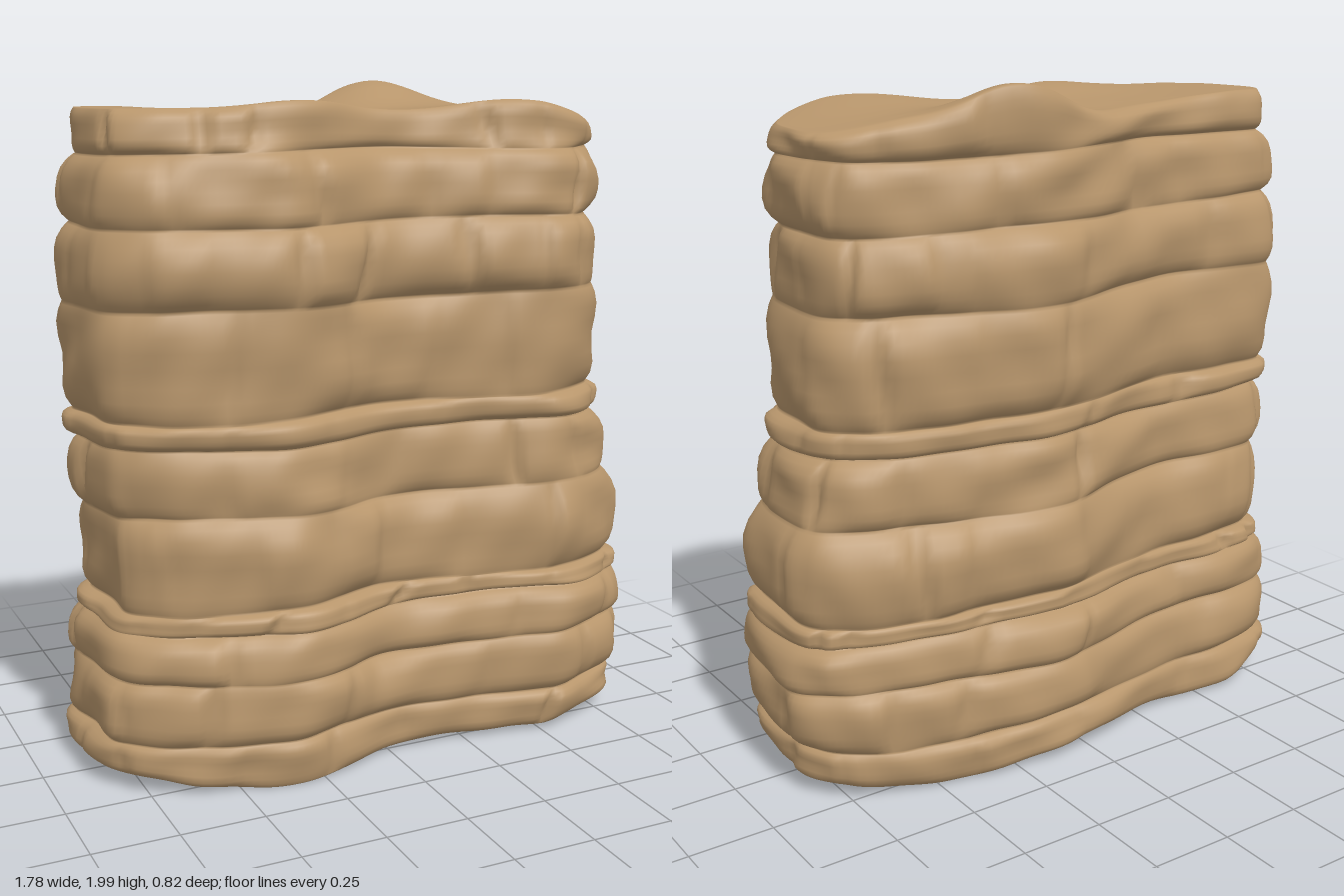
import * as THREE from 'three';

const COLUMNS = 200, STEPS = 10;

// Plan outlines (x, z) at the foot and at the top, matched point for point
const FOOT = [[-.89, -.17], [-.88, 0], [-.85, .16], [-.7, .28], [-.5, .36], [-.32, .4], [-.15, .36], [0, .31],
  [.2, .31], [.4, .34], [.55, .37], [.7, .32], [.85, .23], [.89, .02], [.87, -.17], [.76, -.28], [.55, -.35],
  [.35, -.38], [.1, -.41], [-.05, -.39], [-.33, -.33], [-.63, -.33], [-.82, -.26]];
const HEAD = [[-.79, -.12], [-.78, 0], [-.75, .13], [-.65, .21], [-.5, .25], [-.35, .28], [-.18, .25], [0, .19],
  [.2, .21], [.38, .24], [.52, .26], [.63, .24], [.72, .15], [.74, 0], [.73, -.12], [.66, -.21], [.5, -.27],
  [.33, -.31], [.12, -.34], [-.05, -.3], [-.35, -.21], [-.6, -.21], [-.75, -.2]];

// Rock strata: top height, then reach to -x, +x, +z, -z
const LAYERS = [
  [.15, .9, .855, .39, .405], [.33, .88, .895, .415, .415], [.47, .87, .895, .405, .405],
  [.53, .845, .87, .37, .37], [.80, .825, .875, .375, .395], [1.0, .855, .815, .335, .355],
  [1.08, .87, .79, .345, .355], [1.39, .875, .78, .345, .375], [1.61, .885, .755, .375, .38],
  [1.81, .86, .77, .325, .335], [1.94, .83, .765, .27, .335]];

function makeRandom(seed) {
  return () => (seed = (seed * 16807) % 2147483647) / 2147483647;
}

// Smooth closed outline, scaled so each side reaches exactly 1
function unitOutline(points) {
  const curve = new THREE.CatmullRomCurve3(points.map(([x, z]) => new THREE.Vector3(x, 0, z)), true);
  const list = Array.from({ length: COLUMNS }, (_, j) => curve.getPoint(j / COLUMNS));
  const reach = (f) => Math.max(...list.map(f));
  const l = reach(p => -p.x), r = reach(p => p.x), f = reach(p => p.z), b = reach(p => -p.z);
  return list.map(p => [p.x / (p.x < 0 ? l : r), p.z / (p.z < 0 ? b : f)]);
}

const hill = (x, z, cx, cz, w, d) => Math.exp(-(((x - cx) / w) ** 2) - ((z - cz) / d) ** 2);

// Top with a front-left and a back-right ridge and a valley between; uneven underside
const topHeight = (x, z) => 1.912 + .087 * hill(x, z, .2, -.28, .2, .16) + .038 * hill(x, z, -.26, .22, .24, .16)
  + .035 * hill(x, z, .42, .2, .22, .2) + .018 * THREE.MathUtils.smoothstep(-x, .35, .7)
  - .015 * hill(x, z, -.1, -.2, .2, .15) - .03 * THREE.MathUtils.smoothstep(x, .5, .75);
const footHeight = (x, z) => .024 + .008 * Math.sin(x * 8 + 1.6) + .008 * Math.sin(x * 3.1 + z * 6 - 2.4)
  + .022 * THREE.MathUtils.smoothstep(Math.abs(x), .6, .85);

// Blocks along one layer: each is set in or out and split from the next by a crack
function blockRelief(random) {
  const count = 13 + Math.floor(random() * 6);
  const blocks = Array.from({ length: count }, (_, i) => ({
    start: (i + random() * .7) / count, out: (random() - .5) * .02, tilt: (random() - .5) * .04,
    crack: random() ** 2 * .024, lean: (random() - .5) * .012
  }));
  return (u, s) => {
    let offset = 0, index = count - 1;
    blocks.forEach((b, i) => { if (u >= b.start + b.lean * s) index = i; });
    const b = blocks[index], next = blocks[(index + 1) % count];
    const from = b.start + b.lean * s, to = next.start + next.lean * s;
    const width = (to - from + 1) % 1 || 1, t = ((u - from + 1) % 1) / width;
    offset += b.out * Math.min(1, 8 * t * (1 - t)) + b.tilt * t * (1 - t) * (t - .5) * 4;
    offset -= b.crack * Math.exp(-((t * width / .005) ** 2));
    offset -= next.crack * Math.exp(-(((1 - t) * width / .005) ** 2));
    return offset;
  };
}

// Small dents and swellings shared by all layers
const lumps = (x, y, z) => .005 * Math.sin(x * 13 + y * 11 + 3 * Math.sin(y * 7)) * Math.cos(z * 12 - y * 9)
  + .003 * Math.sin(x * 27 - y * 21 + z * 19) + .004 * Math.sin(x * 8 - z * 17 + y * 33);

function buildRock() {
  const foot = unitOutline(FOOT), head = unitOutline(HEAD);
  const random = makeRandom(4217), rows = [];
  const wave = (i, x, z) => .004 * Math.sin(x * 5 + i * 2.1) + .003 * Math.sin(z * 9 + x * 2 + i * 1.3);
  let base = 0;

  // Bulging strata that meet in grooves
  LAYERS.forEach(([top, ...reach], i) => {
    const relief = blockRelief(random), last = i === LAYERS.length - 1;
    for (let k = i ? 1 : 0; k <= STEPS; k++) {
      const s = Math.sin((k / STEPS - .5) * Math.PI), t = (s + 1) / 2;
      const y = base + (top - base) * t, mix = y / 1.94;
      const neighbour = LAYERS[i + Math.sign(s)] ?? LAYERS[i];
      const [l, r, f, b] = reach.map((v, n) => v + (neighbour[n + 1] - v) * .5 * s * s);
      const plan = foot.map(([x, z], j) => {
        const px = x + (head[j][0] - x) * mix, pz = z + (head[j][1] - z) * mix;
        return [px * (px < 0 ? l : r), pz * (pz < 0 ? b : f)];
      });
      const groove = .028 * Math.abs(s) ** 4;
      rows.push(plan.map(([x, z], j) => {
        const p = plan[(j + COLUMNS - 1) % COLUMNS], q = plan[(j + 1) % COLUMNS];
        const dx = q[0] - p[0], dz = q[1] - p[1], len = Math.hypot(dx, dz);
        const uneven = 1 + .35 * Math.sin(x * 7 + z * 5 + (i + Math.sign(s) / 2) * 4);
        const out = relief(j / COLUMNS, s) * (1 - s ** 4) + lumps(x, y, z) - groove * uneven - .008;
        const nx = x - dz / len * out, nz = z + dx / len * out;
        const low = i ? base + wave(i, x, z) : footHeight(nx, nz);
        const high = last ? topHeight(nx, nz) : top + wave(i + 1, x, z);
        return [nx, low + (high - low) * t, nz];
      }));
    }
    base = top;
  });

  // Rings closing the underside and the top
  const ring = (edge, scale, height) => edge.map(([x, , z]) => [x * scale, height(x * scale, z * scale), z * scale]);
  const lowEdge = rows[0], highEdge = rows[rows.length - 1];
  for (const scale of [.96, .85, .7, .5, .3, .12, .001]) {
    rows.unshift(ring(lowEdge, scale, footHeight));
    rows.push(ring(highEdge, scale, topHeight));
  }

  const index = [];
  for (let i = 0; i < rows.length - 1; i++) {
    for (let j = 0; j < COLUMNS; j++) {
      const a = i * COLUMNS + j, b = i * COLUMNS + (j + 1) % COLUMNS;
      index.push(a, b, b + COLUMNS, a, b + COLUMNS, a + COLUMNS);
    }
  }
  const geometry = new THREE.BufferGeometry();
  geometry.setAttribute('position', new THREE.Float32BufferAttribute(rows.flat(2), 3));
  geometry.setIndex(index);
  geometry.computeVertexNormals();
  return geometry;
}

export function createModel() {
  const sandstone = new THREE.MeshStandardMaterial({ color: 0xb8966c });
  sandstone.name = 'sandstone';
  const rock = new THREE.Mesh(buildRock(), sandstone);
  rock.name = 'layeredRock';
  const group = new THREE.Group();
  group.name = 'rockPillar';
  group.add(rock);
  return group;
}
